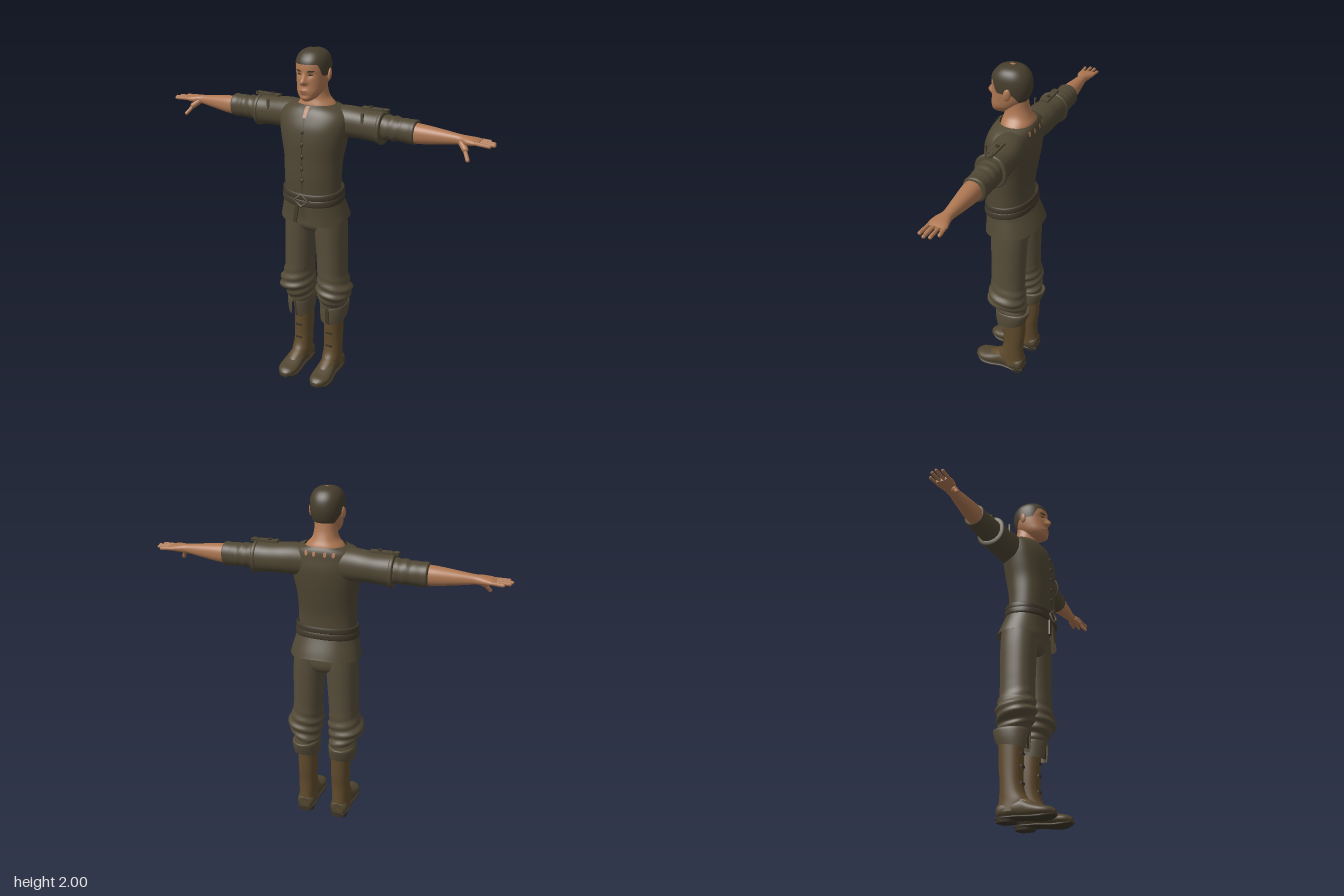
import * as THREE from 'three';

const mat = (name, color, double) => {
  const m = new THREE.MeshStandardMaterial({ color });
  m.name = name;
  if (double) m.side = THREE.DoubleSide;
  return m;
};
const spline = (a, b, c, d, f) =>
  b + 0.5 * f * (c - a + f * (2 * a - 5 * b + 4 * c - d + f * (3 * (b - c) + d - a)));
const smooth = THREE.MathUtils.smoothstep;
const gauss = (v, w) => Math.exp(-(v * v) / (w * w));

// Smooth section at t (0..1). Sections: [position, centre u, centre v, radius u, radius v]
function sectionAt(secs, t) {
  const n = secs.length - 1, i = Math.min(Math.floor(t * n), n - 1), f = t * n - i;
  return secs[i].map((b, k) => spline(secs[Math.max(i - 1, 0)][k], b, secs[i + 1][k], secs[Math.min(i + 2, n)][k], f));
}

// Skin over superellipse sections; angle 0 points along v (the front for axis y)
function loft(secs, { axis = 'y', seg = 40, sub = 5, n = 2.2, grow = 0, gap, from, warp, cap = false } = {}) {
  const rows = (secs.length - 1) * sub, cols = gap ? seg + 1 : seg, pos = [], idx = [];
  const place = { y: (u, p, v) => [u, p, v], x: (u, p, v) => [p, v, u], z: (u, p, v) => [v, u, p] }[axis];
  const pw = (s) => Math.sign(s) * Math.abs(s) ** (2 / n);
  for (let i = 0; i <= rows; i++) {
    for (let j = 0; j < cols; j++) {
      const f = i / rows, g = gap ? gap(f) : 0;
      const a = g + (j / seg) * 2 * (Math.PI - g);
      const t0 = from ? from(Math.min(a, 2 * Math.PI - a)) : 0;
      const s = sectionAt(secs, t0 + (1 - t0) * f);
      const p = new THREE.Vector3(...place(
        s[1] + (s[3] + grow) * pw(Math.sin(a)), s[0] + grow * f, s[2] + (s[4] + grow) * pw(Math.cos(a))));
      if (warp) warp(p, a, f);
      pos.push(p.x, p.y, p.z);
    }
  }
  for (let i = 0; i < rows; i++) for (let j = 0; j < seg; j++) {
    const a = i * cols + j, b = i * cols + (j + 1) % cols;
    idx.push(a, b, b + cols, a, b + cols, a + cols);
  }
  if (cap) for (const r of [0, rows]) {
    const base = pos.length / 3, c = [0, 0, 0];
    for (let j = 0; j < cols; j++) for (let k = 0; k < 3; k++) {
      const v = pos[(r * cols + j) * 3 + k];
      pos.push(v);
      c[k] += v / cols;
    }
    pos.push(...c);
    for (let j = 0; j < seg; j++) {
      const q = [base + j, base + (j + 1) % cols];
      idx.push(...(r ? q : q.reverse()), base + cols);
    }
  }
  const g = new THREE.BufferGeometry();
  g.setAttribute('position', new THREE.Float32BufferAttribute(pos, 3));
  g.setIndex(idx);
  g.computeVertexNormals();
  return g;
}

// Depth of a lofted surface at (x, y), on its front (+1) or back (-1)
function surfaceZ(secs, x, y, side = 1, n = 2.2) {
  let i = 0;
  while (i < secs.length - 2 && secs[i + 1][0] < y) i++;
  const f = THREE.MathUtils.clamp((y - secs[i][0]) / (secs[i + 1][0] - secs[i][0]), 0, 1);
  const s = secs[i].map((v, k) => v + (secs[i + 1][k] - v) * f);
  return s[2] + side * s[4] * Math.max(0, 1 - Math.abs(x / s[3]) ** n) ** (1 / n);
}
// Lay a flat patch onto a surface
function drape(geo, depth) {
  const p = geo.attributes.position;
  for (let i = 0; i < p.count; i++) p.setZ(i, depth(p.getX(i), p.getY(i)));
  geo.computeVertexNormals();
  return geo;
}
function capsule(a, b, r) {
  const p = new THREE.Vector3(...a), q = new THREE.Vector3(...b), d = q.clone().sub(p);
  const g = new THREE.CapsuleGeometry(r, d.length() - r, 4, 10);
  g.applyQuaternion(new THREE.Quaternion().setFromUnitVectors(new THREE.Vector3(0, 1, 0), d.normalize()));
  return g.translate(...p.add(q).multiplyScalar(0.5).toArray());
}
const box = (w, h, d, x, y, z) => new THREE.BoxGeometry(w, h, d).translate(x, y, z);
const ball = (rx, ry, rz, x, y, z) => new THREE.SphereGeometry(1, 20, 14).scale(rx, ry, rz).translate(x, y, z);

export function createModel() {
  const root = new THREE.Group();
  root.name = 'standingMan';
  const M = {
    skin: mat('skin', 0xae7752), hair: mat('hair', 0x463d2d, true), tunic: mat('tunic cloth', 0x50473431 >>> 8, true),
    trousers: mat('trouser cloth', 0x564c39, true), trim: mat('dark trim', 0x40382a, true),
    boot: mat('boot leather', 0x5f4a2b), foot: mat('shoe leather', 0x51452f), sole: mat('sole', 0x3c3427),
    lip: mat('lips', 0x8e5842), eye: mat('eyes', 0x3a2a20),
  };
  const add = (name, geo, m) => {
    const mesh = new THREE.Mesh(geo, m);
    mesh.name = name;
    root.add(mesh);
  };
  // Adds the left part and its mirror image
  const pair = (name, geo, m) => {
    const g = geo.clone().scale(-1, 1, 1), id = g.index.array;
    for (let i = 0; i < id.length; i += 3) [id[i], id[i + 1]] = [id[i + 1], id[i]];
    add(name + 'Left', geo, m);
    add(name + 'Right', g, m);
  };

  // Head, face relief and hair
  const head = [[1.733, 0, 0.068, 0.02, 0.028], [1.75, 0, 0.053, 0.044, 0.056], [1.78, 0, 0.035, 0.066, 0.075],
    [1.82, 0, 0.012, 0.077, 0.095], [1.86, 0, 0.002, 0.083, 0.103], [1.9, 0, 0, 0.086, 0.106],
    [1.94, 0, 0, 0.083, 0.099], [1.97, 0, -0.001, 0.069, 0.079], [1.988, 0, -0.002, 0.045, 0.052], [1.997, 0, -0.003, 0.008, 0.01]];
  const relief = (x, y) =>
    0.031 * gauss(x, 0.009 + 0.007 * (1 - smooth(y, 1.83, 1.86))) * (1 - smooth(y, 1.836, 1.893)) * smooth(y, 1.818, 1.832)
    - 0.009 * gauss(Math.abs(x) - 0.032, 0.019) * gauss(y - 1.874, 0.013)
    + 0.006 * gauss(x, 0.024) * gauss(y - 1.787, 0.012) - 0.004 * gauss(x, 0.03) * gauss(y - 1.765, 0.008);
  const faceZ = (lift) => (x, y) => surfaceZ(head, x, y) + relief(x, y) + lift;
  add('head', loft(head, { seg: 72, sub: 6, cap: true, warp: (p) => { if (p.z > 0.03) p.z += relief(p.x, p.y); } }), M.skin);
  const hairline = (a) => (5.65 - 1.5 * smooth(a, 0.75, 1.2) - 1.1 * smooth(a, 1.8, 2.5)) / 9;
  add('hair', loft(head, { seg: 72, sub: 3, grow: 0.003, from: hairline, cap: false }), M.hair);
  pair('ear', ball(0.011, 0.033, 0.02, 0, 0, 0).rotateY(0.35).rotateX(-0.15).translate(0.088, 1.866, -0.012), M.skin);
  const disc = (rx, ry, x, y, turn = 0) => new THREE.CircleGeometry(1, 20).scale(rx, ry, 1).rotateZ(turn).translate(x, y, 0);
  pair('eyebrow', drape(disc(0.019, 0.0045, 0.036, 1.893, 0.1), faceZ(0.003)), M.hair);
  pair('eye', drape(disc(0.012, 0.0038, 0.033, 1.873), faceZ(0.003)), M.eye);
  add('mouth', drape(disc(0.023, 0.006, 0, 1.787), faceZ(0.0025)), M.lip);

  // Neck flaring into the collar
  add('neck', loft([[1.655, 0, -0.035, 0.125, 0.09], [1.7, 0, -0.038, 0.102, 0.085], [1.735, 0, -0.035, 0.072, 0.072],
    [1.78, 0, -0.03, 0.06, 0.062], [1.84, 0, -0.028, 0.058, 0.056]]), M.skin);

  // Tunic body
  const body = [[1.18, 0, 0.003, 0.163, 0.12], [1.24, 0, 0.006, 0.164, 0.121], [1.32, 0, 0.007, 0.165, 0.124],
    [1.41, 0, 0, 0.169, 0.131], [1.5, 0, -0.006, 0.186, 0.138], [1.58, 0, -0.013, 0.2, 0.137],
    [1.64, 0, -0.021, 0.2, 0.123], [1.68, 0, -0.03, 0.168, 0.109], [1.703, 0, -0.037, 0.112, 0.091]];
  const bodyZ = (side, lift) => (x, y) => surfaceZ(body, x, y, side) + side * lift;
  add('tunicBody', loft(body, { seg: 56 }), M.tunic);
  add('frontSeam', drape(new THREE.PlaneGeometry(0.006, 0.4, 1, 16).translate(0, 1.44, 0), bodyZ(1, 0.003)), M.trim);
  add('neckSlit', drape(new THREE.PlaneGeometry(0.022, 0.055, 2, 6).translate(0, 1.672, 0), bodyZ(1, 0.005)), M.skin);
  pair('collarFlap', drape(new THREE.PlaneGeometry(0.012, 0.065, 1, 6).rotateZ(-0.12).translate(0.018, 1.668, 0), bodyZ(1, 0.009)), M.trim);
  for (let i = 0; i < 5; i++) {
    const y = 1.3 + i * 0.068;
    add('button', ball(0.009, 0.012, 0.006, 0, y, bodyZ(1, 0.003)(0, y)), M.trim);
  }
  for (const x of [0.03, 0.075])
    pair('backEyelet', drape(disc(0.009, 0.014, x, 1.672).rotateY(Math.PI).translate(2 * x, 0, 0), bodyZ(-1, 0.005)), M.skin);

  // Skirt of the tunic, split at the front
  add('tunicSkirt', loft([[1.055, 0, -0.026, 0.203, 0.158], [1.1, 0, -0.02, 0.192, 0.149], [1.16, 0, -0.008, 0.177, 0.137],
    [1.21, 0, 0, 0.168, 0.126]], {
    seg: 56, gap: (f) => 0.005 + 0.14 * (1 - f),
    warp: (p, a, f) => { p.y -= (1 - f) * (0.018 * Math.cos(a) - 0.006 * Math.cos(4 * a)); },
  }), M.tunic);

  // Belt wraps, tilted down to the front, with a diamond buckle
  for (const [y, r] of [[1.165, 0.004], [1.2, 0.001]])
    add('belt', loft([[y, 0, 0, 0.168, 0.126], [y + 0.004, 0, 0, 0.177, 0.135], [y + 0.032, 0, 0, 0.176, 0.134], [y + 0.037, 0, 0, 0.167, 0.125]],
      { seg: 56, sub: 3, grow: r, warp: (p) => { p.y -= 0.12 * p.z; } }), M.trim);
  add('buckle', new THREE.TorusGeometry(0.036, 0.007, 8, 4).scale(1.2, 1, 1).translate(0, 1.188, 0.143), M.trousers);
  add('beltTail', box(0.022, 0.12, 0.008, 0, 0, 0).rotateX(-0.05).rotateZ(-0.16).translate(-0.035, 1.11, 0.137), M.trim);

  // Sleeves: wide upper sleeve, narrow lower sleeve, rolled cuff
  pair('upperSleeve', loft([[0.06, -0.055, 1.605, 0.07, 0.08], [0.15, -0.06, 1.61, 0.082, 0.086], [0.22, -0.067, 1.611, 0.083, 0.083],
    [0.3, -0.07, 1.606, 0.079, 0.08], [0.365, -0.07, 1.604, 0.081, 0.084], [0.386, -0.07, 1.603, 0.083, 0.087]], { axis: 'x', cap: true }), M.tunic);
  pair('sleeveHem', loft([[0.366, -0.07, 1.604, 0.08, 0.083], [0.37, -0.07, 1.604, 0.086, 0.089], [0.386, -0.07, 1.603, 0.086, 0.09],
    [0.39, -0.07, 1.603, 0.07, 0.072]], { axis: 'x', sub: 3 }), M.tunic);
  pair('lowerSleeve', loft([[0.37, -0.074, 1.606, 0.066, 0.064], [0.44, -0.076, 1.606, 0.066, 0.065], [0.51, -0.078, 1.604, 0.06, 0.059]], {
    axis: 'x', sub: 10, warp: (p, a) => { p.y += 0.003 * Math.sin(p.x * 130 + a); },
  }), M.tunic);
  pair('rolledCuff', loft([[0.49, -0.078, 1.604, 0.054, 0.056], [0.495, -0.078, 1.604, 0.062, 0.063], [0.53, -0.078, 1.603, 0.06, 0.063],
    [0.56, -0.078, 1.603, 0.062, 0.065], [0.567, -0.077, 1.603, 0.05, 0.055]], { axis: 'x', cap: true }), M.tunic);

  // Shoulder straps with a button and end loop
  pair('shoulderStrap', box(0.15, 0.012, 0.036, 0.33, 1.696, -0.07), M.tunic);
  pair('strapLoop', new THREE.TorusGeometry(0.02, 0.004, 6, 16).rotateX(Math.PI / 2).scale(1, 1, 0.9).translate(0.39, 1.7, -0.07), M.trim);
  pair('strapButton', new THREE.CylinderGeometry(0.011, 0.011, 0.012, 14).translate(0.305, 1.704, -0.07), M.trim);
  pair('strapTab', box(0.014, 0.07, 0.008, 0.29, 1.65, 0.003), M.tunic);

  // Forearms and hands
  pair('forearm', loft([[0.53, -0.072, 1.6, 0.048, 0.054], [0.6, -0.072, 1.6, 0.047, 0.051], [0.7, -0.073, 1.602, 0.037, 0.039],
    [0.795, -0.073, 1.604, 0.028, 0.026], [0.84, -0.069, 1.604, 0.04, 0.023], [0.88, -0.072, 1.605, 0.049, 0.017],
    [0.905, -0.075, 1.604, 0.044, 0.01]], { axis: 'x', cap: true }), M.skin);
  for (const [z, zTip, tip] of [[-0.036, -0.029, 0.972], [-0.061, -0.058, 0.988], [-0.086, -0.087, 0.98], [-0.11, -0.116, 0.95]])
    pair('finger', capsule([0.88, 1.605, z], [tip - 0.004, 1.602, zTip], 0.0095), M.skin);
  pair('thumbBase', capsule([0.81, 1.597, -0.056], [0.848, 1.565, -0.025], 0.017), M.skin);
  pair('thumb', capsule([0.84, 1.57, -0.03], [0.873, 1.523, 0.006], 0.0105), M.skin);

  // Trousers
  add('trouserSeat', loft([[0.965, 0, -0.03, 0.1, 0.075], [1.0, 0, -0.03, 0.16, 0.1], [1.06, 0, -0.028, 0.182, 0.106],
    [1.18, 0, -0.005, 0.163, 0.115]], { cap: true }), M.trousers);
  pair('trouserLeg', loft([[0.46, 0.11, -0.05, 0.068, 0.085], [0.5, 0.11, -0.047, 0.076, 0.097], [0.53, 0.113, -0.04, 0.08, 0.1],
    [0.575, 0.126, -0.028, 0.1, 0.11], [0.615, 0.122, -0.028, 0.1, 0.108], [0.69, 0.111, -0.029, 0.085, 0.1],
    [0.82, 0.105, -0.03, 0.086, 0.1], [0.99, 0.097, -0.03, 0.09, 0.105], [1.1, 0.09, -0.028, 0.088, 0.104]], {
    sub: 7, warp: (p, a) => {
      const w = 0.006 * smooth(p.y, 0.46, 0.53) * (1 - smooth(p.y, 0.6, 0.75)) * Math.sin(p.y * 110 + 2 * a);
      p.x += w * Math.sin(a);
      p.z += w * Math.cos(a);
    },
  }), M.trousers);
  // Turned-up cuffs, notched at the front
  pair('trouserCuff', loft([[0.395, 0.11, -0.052, 0.076, 0.09], [0.44, 0.112, -0.056, 0.08, 0.1], [0.485, 0.112, -0.06, 0.08, 0.105],
    [0.497, 0.112, -0.058, 0.07, 0.093]], {
    gap: (f) => 0.06 + 0.2 * (1 - f), warp: (p, a, f) => { p.y -= (1 - f) * 0.02 * Math.cos(a); },
  }), M.trousers);
  pair('cuffTab', box(0.022, 0.1, 0.008, 0.107, 0.435, 0.03), M.trim);

  // Boots: shaft, straps, foot, sole and heel
  pair('bootShaft', loft([[0.05, 0.107, -0.06, 0.057, 0.073], [0.1, 0.106, -0.045, 0.055, 0.085], [0.15, 0.105, -0.056, 0.054, 0.07],
    [0.21, 0.104, -0.062, 0.054, 0.063], [0.3, 0.103, -0.066, 0.055, 0.068], [0.45, 0.105, -0.066, 0.056, 0.072]]), M.boot);
  for (const y of [0.2, 0.29, 0.36])
    pair('bootStrap', box(0.04, 0.012, 0.01, 0.105, y, 0.001), M.sole);
  pair('bootFoot', loft([[-0.132, 0.06, 0.107, 0.035, 0.035], [-0.11, 0.06, 0.107, 0.043, 0.053], [-0.04, 0.067, 0.107, 0.05, 0.055],
    [0.01, 0.066, 0.108, 0.052, 0.053], [0.06, 0.053, 0.11, 0.04, 0.058], [0.12, 0.042, 0.111, 0.03, 0.06],
    [0.165, 0.038, 0.109, 0.024, 0.046], [0.19, 0.034, 0.107, 0.01, 0.018]], { axis: 'z', cap: true }), M.foot);
  pair('instep', loft([[-0.03, 0.09, 0.107, 0.05, 0.05], [0.02, 0.083, 0.107, 0.041, 0.045], [0.07, 0.062, 0.108, 0.034, 0.038],
    [0.1, 0.055, 0.109, 0.02, 0.025]], { axis: 'z', cap: true }), M.boot);
  pair('bootSole', loft([[-0.135, 0.021, 0.107, 0.007, 0.04], [-0.08, 0.021, 0.107, 0.009, 0.056], [0, 0.02, 0.108, 0.009, 0.054],
    [0.08, 0.012, 0.111, 0.01, 0.062], [0.14, 0.013, 0.111, 0.01, 0.058], [0.188, 0.022, 0.107, 0.008, 0.025]], { axis: 'z', n: 3, cap: true }), M.sole);
  pair('bootHeel', loft([[0, 0.107, -0.085, 0.048, 0.05], [0.03, 0.107, -0.083, 0.053, 0.053]], { n: 3, cap: true }), M.sole);
  return root;
}
